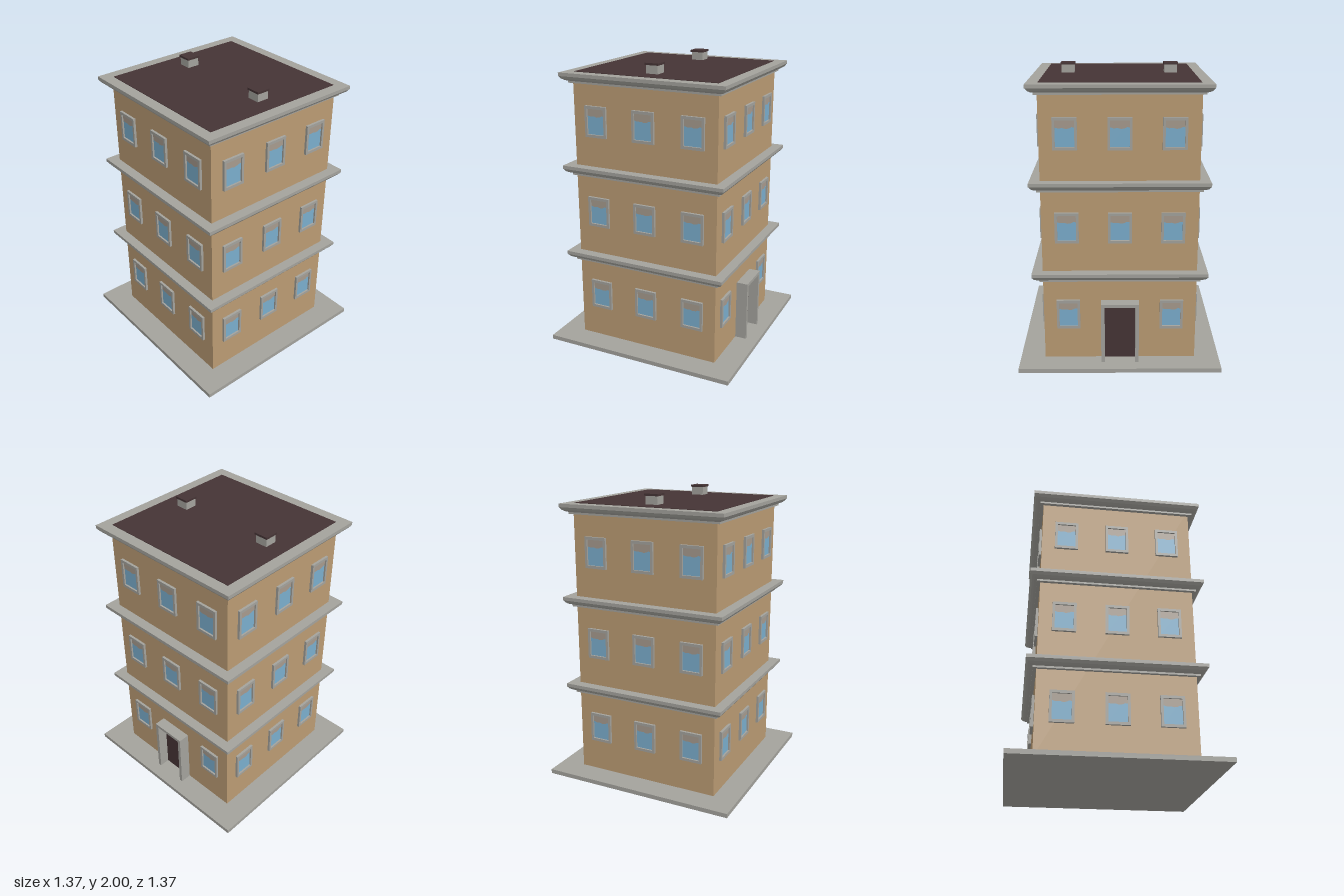
import * as THREE from 'three';

const mat = (name, color) => {
  const m = new THREE.MeshStandardMaterial({ color });
  m.name = name;
  return m;
};

export function createModel() {
  const model = new THREE.Group();
  model.name = 'apartmentBlock';
  const wall = mat('tan wall', 0xba9b73);
  const stone = mat('grey stone', 0xa3a29c);
  const dark = mat('dark brown', 0x453435);
  const glass = mat('blue glass', 0x7aadcc);
  const blind = mat('taupe blind', 0xa69a8d);

  const add = (parent, name, geometry, material, x = 0, y = 0, z = 0) => {
    const mesh = new THREE.Mesh(geometry, material);
    mesh.name = name;
    mesh.position.set(x, y, z);
    parent.add(mesh);
    return mesh;
  };
  const box = (parent, name, material, w, h, d, x, y, z) =>
    add(parent, name, new THREE.BoxGeometry(w, h, d), material, x, y, z);

  // Ground slab and walls
  box(model, 'baseSlab', stone, 1.37, 0.03, 1.37, 0, 0.015, 0);
  box(model, 'walls', wall, 1.034, 1.87, 1.034, 0, 0.965, 0);

  // Square moulding turned in four segments, one above each floor
  const profile = [
    [0.5, 0], [0.54, 0], [0.54, 0.013], [0.557, 0.019], [0.572, 0.029],
    [0.582, 0.043], [0.586, 0.047], [0.586, 0.07], [0, 0.07],
  ].map(([r, y]) => new THREE.Vector2(r * Math.SQRT2, y));
  const cornice = new THREE.LatheGeometry(profile, 4, Math.PI / 4).toNonIndexed();
  cornice.computeVertexNormals();
  [0.605, 1.23, 1.858].forEach((y, i) => add(model, 'cornice' + (i + 1), cornice, stone, 0, y, 0));

  // Roof covering and chimneys
  box(model, 'roofCovering', dark, 1.02, 0.006, 1.02, 0, 1.928, 0);
  for (const z of [-0.35, 0.35]) {
    const chimney = new THREE.Group();
    chimney.name = 'chimney';
    box(chimney, 'chimneyStack', stone, 0.085, 0.06, 0.085, 0, 1.957, 0);
    box(chimney, 'chimneyCap', dark, 0.097, 0.014, 0.097, 0, 1.993, 0);
    chimney.position.z = z;
    model.add(chimney);
  }

  // Window: hollow frame, glass pane and a blind with an uneven lower edge
  const rect = (P, w, h) => new P([[-w, -h], [w, -h], [w, h], [-w, h]]
    .map(([x, y]) => new THREE.Vector2(x / 2, y / 2)));
  const frameShape = rect(THREE.Shape, 0.158, 0.21);
  frameShape.holes.push(rect(THREE.Path, 0.124, 0.172));
  const frameGeo = new THREE.ExtrudeGeometry(frameShape, { depth: 0.019, bevelEnabled: false });
  const paneGeo = new THREE.BoxGeometry(0.126, 0.174, 0.006);
  const blindGeo = new THREE.ShapeGeometry(new THREE.Shape([
    [-0.062, 0.04], [-0.04, 0.034], [-0.012, 0.036], [0.008, 0.03],
    [0.03, 0.034], [0.045, 0.042], [0.062, 0.04], [0.062, 0.086], [-0.062, 0.086],
  ].map(([x, y]) => new THREE.Vector2(x, y))));

  // Three windows per floor on each side; the door replaces one on the left side
  for (let side = 0; side < 4; side++) {
    const facade = new THREE.Group();
    facade.name = 'facade' + (side + 1);
    facade.rotation.y = side * Math.PI / 2;
    for (const y of [0.358, 0.98, 1.61]) {
      for (const x of [-0.35, 0, 0.35]) {
        if (side === 1 && y < 0.5 && x === 0) continue;
        const win = new THREE.Group();
        win.name = 'window';
        win.position.set(x, y, 0.515);
        add(win, 'windowFrame', frameGeo, stone);
        add(win, 'windowPane', paneGeo, glass, 0, 0, 0.004);
        add(win, 'windowBlind', blindGeo, blind, 0, 0, 0.0085);
        facade.add(win);
      }
    }
    if (side === 1) {
      // Entrance: deep surround with a recessed door
      const entrance = new THREE.Group();
      entrance.name = 'entrance';
      for (const s of [-1, 1])
        box(entrance, 'doorJamb', stone, 0.024, 0.43, 0.085, s * 0.116, 0.245, 0.555);
      box(entrance, 'doorLintel', stone, 0.208, 0.022, 0.085, 0, 0.449, 0.555);
      box(entrance, 'door', dark, 0.208, 0.408, 0.012, 0, 0.234, 0.518);
      facade.add(entrance);
    }
    model.add(facade);
  }
  return model;
}
